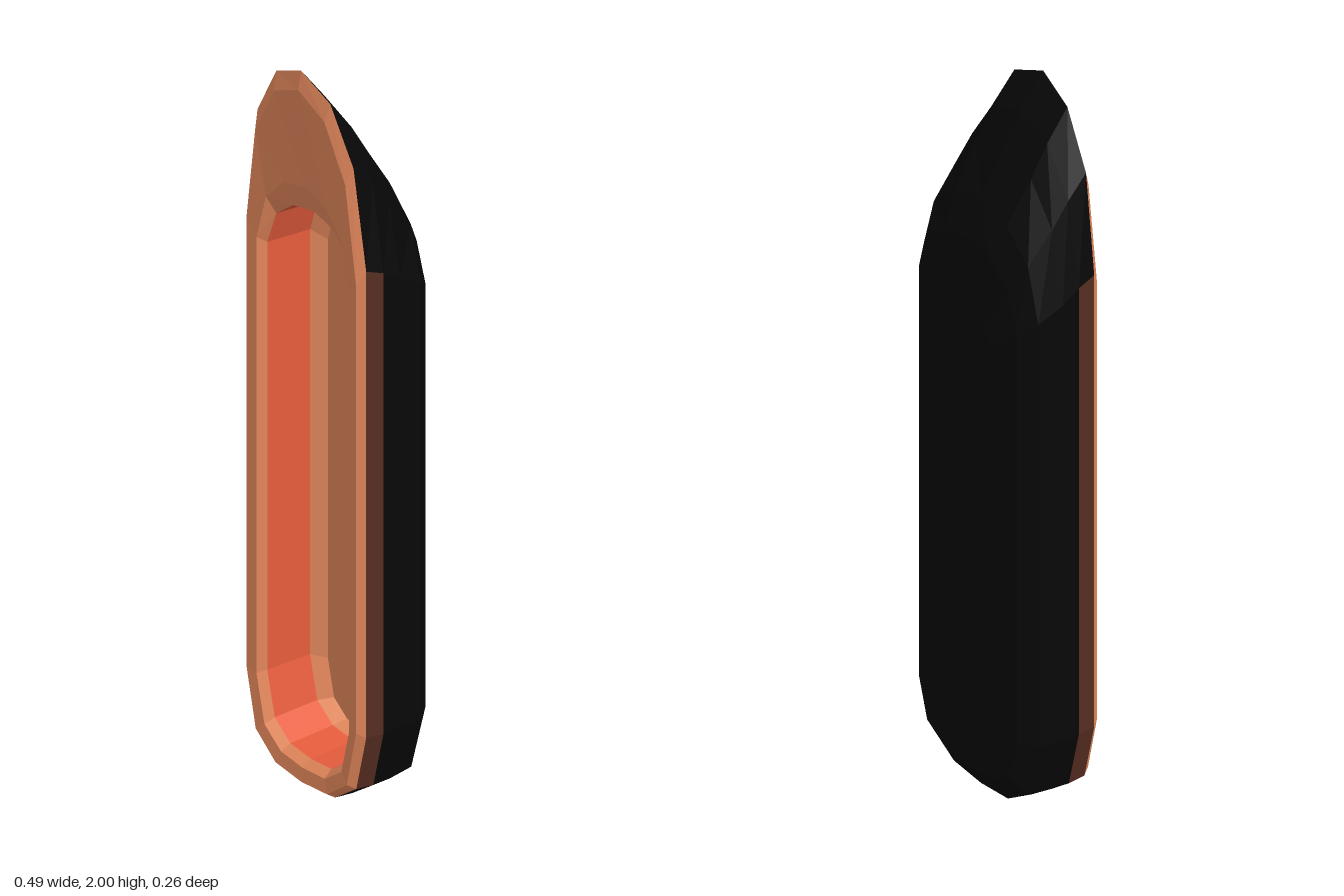
import * as THREE from 'three';

// Half outline from top centre to bottom centre: [width fraction, drop from top, rise from bottom]
const OUTLINE = [
  [0, 0, null], [0.46, 0.05, null], [0.82, 0.2, null], [1, 0.48, null], [1, null, null],
  [1, null, 0.23], [0.83, null, 0.07], [0.47, null, 0.01], [0, null, 0],
];

// One closed 16-point loop; zTop moves the top centre point forward or back
function ring(hw, y0, y1, z, topScale, bottomScale, zTop = z) {
  const half = OUTLINE.map(([u, drop, rise], i) => {
    const y = drop !== null ? y1 - drop * topScale
      : rise !== null ? y0 + rise * bottomScale : (y0 + y1) / 2;
    const k = Math.max(0, 1 - i / 3);
    return new THREE.Vector3(u * hw, y, z + (zTop - z) * k);
  });
  const mirrored = half.slice(1, 8).reverse().map((p) => new THREE.Vector3(-p.x, p.y, p.z));
  return half.concat(mirrored);
}

// Joins successive loops; keep() picks segments by distance from the top
function skin(name, rings, material, { keep = () => true, capStart = false, capEnd = false } = {}) {
  const pos = [];
  const tri = (...pts) => pts.forEach((p) => pos.push(p.x, p.y, p.z));
  const n = 16;
  for (let i = 0; i < rings.length - 1; i++) {
    for (let j = 0; j < n; j++) {
      if (!keep(j < 8 ? j : 15 - j)) continue;
      const k = (j + 1) % n;
      const a = rings[i][j], b = rings[i][k], c = rings[i + 1][k], d = rings[i + 1][j];
      tri(a, d, c);
      tri(a, c, b);
    }
  }
  const cap = (r, flip) => {
    const mid = r.reduce((s, p) => s.add(p), new THREE.Vector3()).divideScalar(n);
    r.forEach((p, j) => {
      const q = r[(j + 1) % n];
      if (flip) tri(mid, q, p); else tri(mid, p, q);
    });
  };
  if (capStart) cap(rings[0], false);
  if (capEnd) cap(rings[rings.length - 1], true);
  const geo = new THREE.BufferGeometry();
  geo.setAttribute('position', new THREE.Float32BufferAttribute(pos, 3));
  geo.computeVertexNormals();
  const mesh = new THREE.Mesh(geo, material);
  mesh.name = name;
  return mesh;
}

export function createModel() {
  const mat = (name, color) => {
    const m = new THREE.MeshStandardMaterial({ color, flatShading: true });
    m.name = name;
    return m;
  };
  const black = mat('black', 0x070707);
  const tan = mat('tan', 0xe4885c);
  const brown = mat('brown', 0x562d21);
  const red = mat('red', 0xe65c3c);

  // Outer hull loops, back to front
  const hull = [
    ring(0.12, 0.23, 1.44, -0.13, 0.2, 0.3),
    ring(0.205, 0.08, 1.6, -0.11, 0.38, 0.7),
    ring(0.24, 0.015, 1.7, -0.07, 0.52, 0.95),
    ring(0.246, 0.003, 1.82, 0, 0.7, 1),
    ring(0.245, 0, 1.91, 0.05, 0.82, 1),
  ];
  const bandFront = ring(0.241, 0.003, 2, 0.1, 0.97, 1, 0.12);
  const rimOuter = ring(0.226, 0.015, 1.95, 0.12, 0.95, 1, 0.13);
  // Hollow loops, front to back: sloped lip, upright wall, bevelled floor
  const rimInner = ring(0.191, 0.052, 1.67, 0.115, 0.45, 0.8, 0.105);
  const lip = ring(0.18, 0.07, 1.595, 0.09, 0.33, 0.75, 0.08);
  const wallEnd = ring(0.178, 0.08, 1.59, -0.04, 0.33, 0.72);
  const floor = ring(0.148, 0.095, 1.56, -0.073, 0.32, 0.62);

  const onSide = (s) => s >= 3 && s <= 5;
  const band = [hull[4], bandFront];
  const group = new THREE.Group();
  group.name = 'hollowVessel';
  group.add(
    skin('hull', hull, black, { capStart: true }),
    skin('sideBands', band, brown, { keep: onSide }),
    skin('hullEnds', band, black, { keep: (s) => !onSide(s) }),
    skin('rim', [bandFront, rimOuter, rimInner, lip], tan),
    skin('hollowWall', [lip, wallEnd], red),
    skin('hollowFloor', [wallEnd, floor], tan, { capEnd: true }),
  );
  return group;
}
